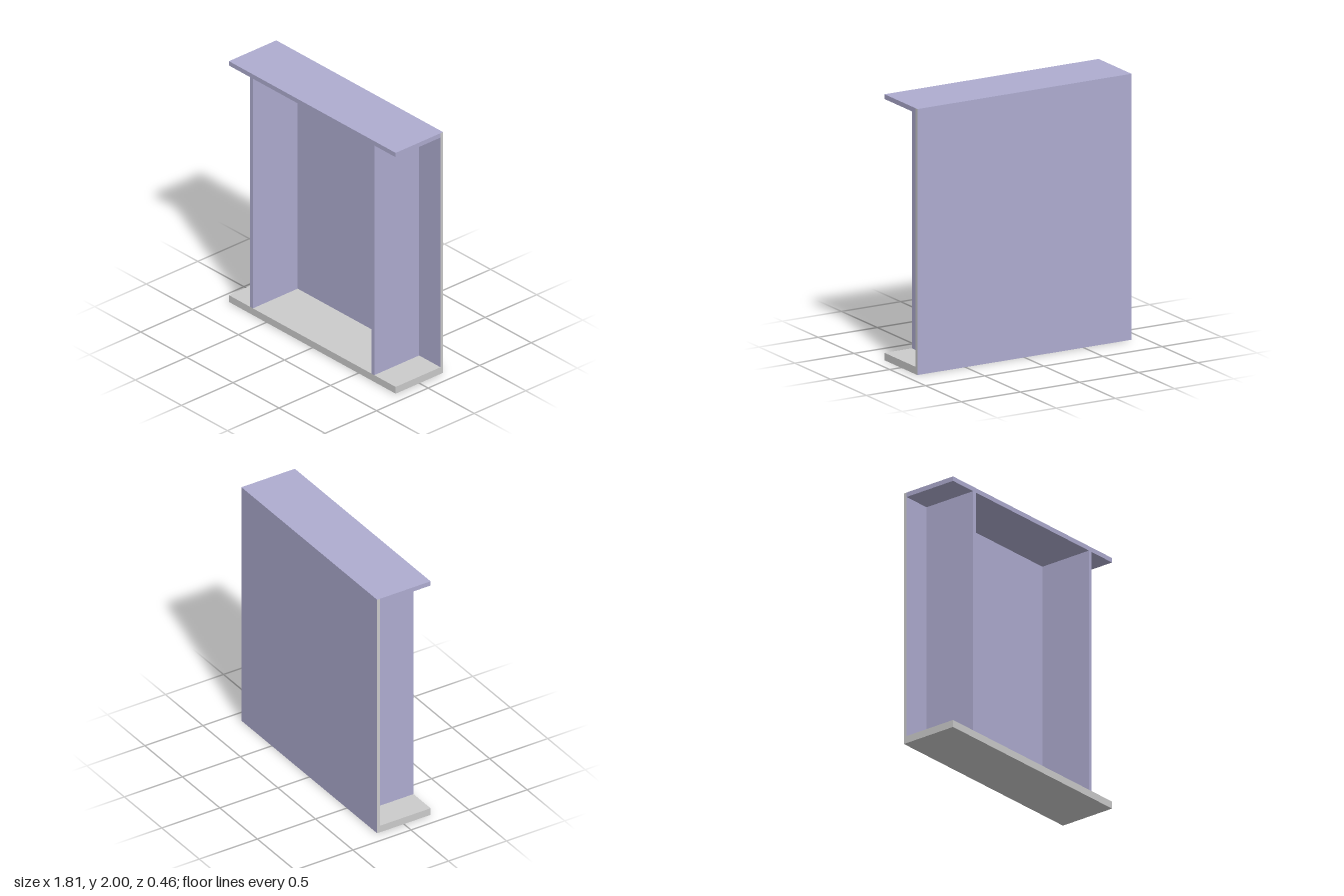
import * as THREE from 'three';

export function createModel() {
  const model = new THREE.Group();
  const grey = new THREE.MeshStandardMaterial({ color: 0xcccccc });
  const lilac = new THREE.MeshStandardMaterial({ color: 0xaeacd0 });

  // Box given by its lower and upper corners
  function board(name, min, max, material) {
    const size = max.map((v, i) => v - min[i]);
    const mesh = new THREE.Mesh(new THREE.BoxGeometry(...size), material);
    mesh.position.set(...max.map((v, i) => (v + min[i]) / 2));
    mesh.name = name;
    model.add(mesh);
  }

  const halfWidth = 0.905, front = 0.23, back = -0.23, panelFront = -0.205;
  const floor = 0.056, ceiling = 1.964;

  // Back panel: coloured faces and top, raw grey side and bottom edges
  board('backPanel', [-halfWidth, 0, back], [halfWidth, 2, panelFront],
    [grey, grey, lilac, grey, lilac, lilac]);

  // Base and top boards, butted against the back panel
  board('baseBoard', [-halfWidth, 0, panelFront], [halfWidth, floor, front], grey);
  board('topBoard', [-halfWidth, ceiling, panelFront], [halfWidth, 2, front], lilac);

  // Two uprights between base and top
  for (const [name, x] of [['leftUpright', 0.657], ['rightUpright', -0.661]]) {
    board(name, [x - 0.016, floor, panelFront], [x + 0.016, ceiling, front], lilac);
  }

  return model;
}
